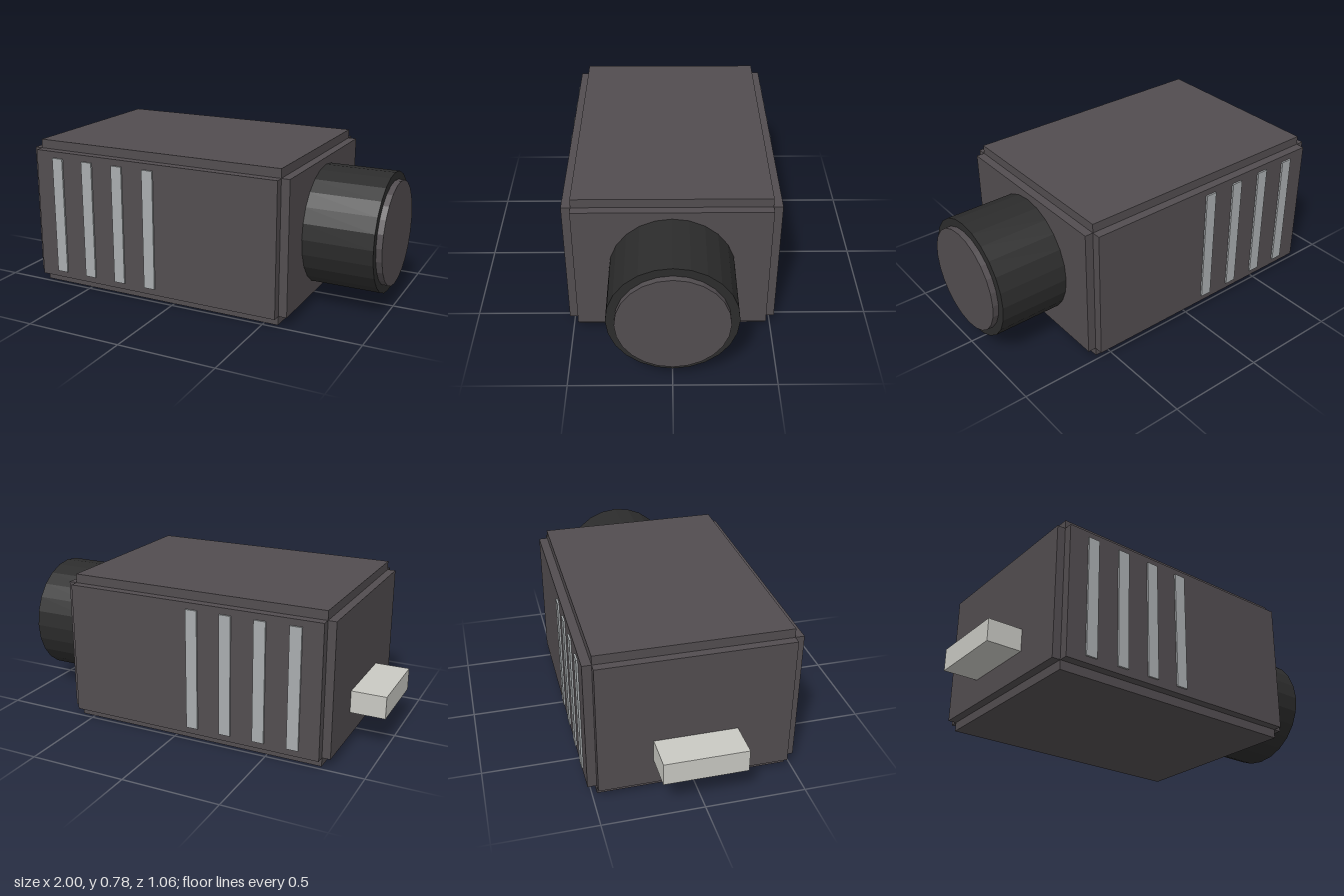
import * as THREE from 'three';

export function createModel() {
  const model = new THREE.Group();
  const material = (name, color, flatShading = false) => {
    const m = new THREE.MeshStandardMaterial({ color, flatShading });
    m.name = name;
    return m;
  };
  const casing = material('casing grey', 0x524d50, true);
  const black = material('barrel black', 0x2c2c2c, true);
  const silver = material('vent silver', 0xa9adaf);
  const pale = material('connector pale grey', 0xc9c9c3);

  // Box given by its extents along each axis
  function box(name, mat, [x0, x1], [y0, y1], [z0, z1]) {
    const mesh = new THREE.Mesh(new THREE.BoxGeometry(x1 - x0, y1 - y0, z1 - z0), mat);
    mesh.position.set((x0 + x1) / 2, (y0 + y1) / 2, (z0 + z1) / 2);
    mesh.name = name;
    model.add(mesh);
  }

  // Cylinder lying along x
  function barrel(name, mat, radius, x0, x1) {
    const geometry = new THREE.CylinderGeometry(radius, radius, x1 - x0, 24);
    geometry.rotateZ(-Math.PI / 2);
    const mesh = new THREE.Mesh(geometry, mat);
    mesh.position.set((x0 + x1) / 2, 0.388, 0);
    mesh.name = name;
    model.add(mesh);
  }

  // Casing: three crossing blocks leave a stepped notch along every edge
  const innerX = [-0.78, 0.572], innerY = [0.046, 0.73], innerZ = [-0.475, 0.475];
  box('casingLength', casing, [-0.822, 0.615], innerY, innerZ);
  box('casingHeight', casing, innerX, [0, 0.776], innerZ);
  box('casingWidth', casing, innerX, innerY, [-0.52, 0.52]);

  // Barrel with a grey end cap
  barrel('barrel', black, 0.306, 0.6, 0.97);
  barrel('barrelCap', casing, 0.265, 0.96, 1);

  // Vent strips on both sides
  for (const x of [-0.648, -0.47, -0.292, -0.114]) {
    for (const side of [-1, 1]) {
      const z = [side * 0.52, side * 0.529].sort((a, b) => a - b);
      box('ventStrip', silver, [x - 0.03, x + 0.03], [0.08, 0.697], z);
    }
  }

  // Connector at the rear end
  box('connector', pale, [-1, -0.81], [0.178, 0.293], [-0.206, 0.206]);

  return model;
}
